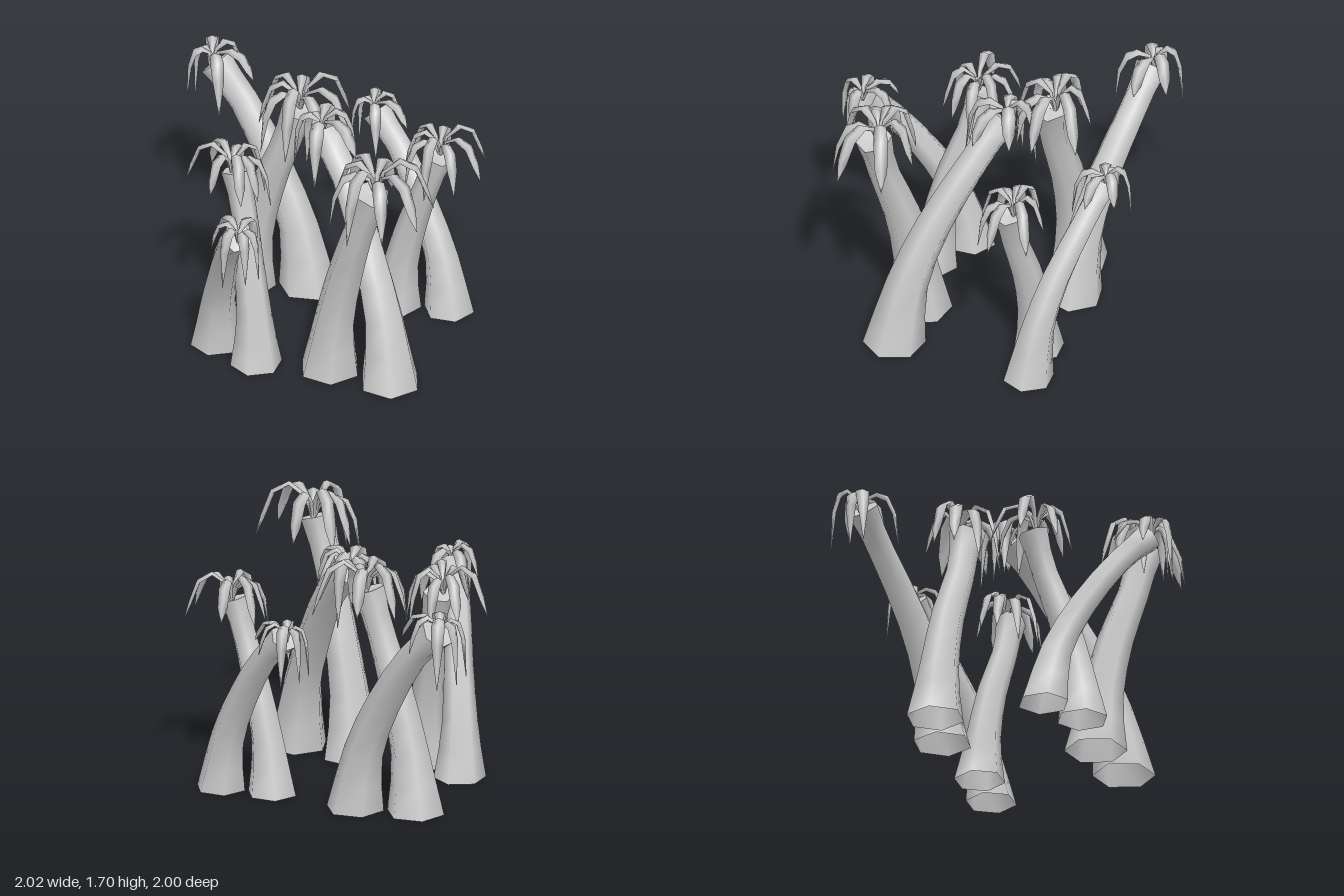
import * as THREE from 'three';

const V = (x, y, z) => new THREE.Vector3(x, y, z);
const material = new THREE.MeshStandardMaterial({ color: 0xcccccc, side: THREE.DoubleSide });

// One elliptical cross-section, square to the direction of growth
function ring(center, dir, sideRef, rSide, rUp, sides, phase = 0) {
  const t = dir.clone().normalize();
  const u = sideRef.clone().addScaledVector(t, -sideRef.dot(t)).normalize();
  const w = u.clone().cross(t);
  return Array.from({ length: sides }, (_, i) => {
    const a = phase + (i / sides) * Math.PI * 2;
    return center.clone().addScaledVector(u, Math.cos(a) * rSide).addScaledVector(w, Math.sin(a) * rUp);
  });
}

// Skin over a row of cross-sections
function loft(rings) {
  const n = rings[0].length, index = [];
  for (let i = 0; i < rings.length - 1; i++) {
    for (let j = 0; j < n; j++) {
      const a = i * n + j, b = i * n + (j + 1) % n;
      index.push(a, a + n, b, b, a + n, b + n);
    }
  }
  const geo = new THREE.BufferGeometry().setFromPoints(rings.flat());
  geo.setIndex(index);
  geo.computeVertexNormals();
  return geo;
}

function mesh(geo, name) {
  const m = new THREE.Mesh(geo, material);
  m.name = name;
  return m;
}

// Six-sided trunk: flared foot, slim neck, slightly flared rim
const trunkRadii = [0.195, 0.158, 0.132, 0.12, 0.112, 0.104, 0.097, 0.098, 0.116];
const trunkPhase = 0.22;
function trunk(points) {
  const curve = new THREE.CatmullRomCurve3(points.map(p => V(...p)));
  const last = trunkRadii.length - 1;
  const rings = trunkRadii.map((r, i) => {
    const dir = i ? curve.getTangent(i / last) : V(0, 1, 0);
    return ring(curve.getPoint(i / last), dir, V(1, 0, 0), r, r, 6, trunkPhase);
  });
  const group = new THREE.Group();
  group.name = 'trunk';
  group.add(mesh(loft(rings), 'trunkBark'));
  // Shallow top with its own normals, so the rim stays sharp
  const end = curve.getPoint(1), dir = curve.getTangent(1);
  const inner = ring(end.addScaledVector(dir, -0.015), dir, V(1, 0, 0), 0.002, 0.002, 6, trunkPhase);
  group.add(mesh(loft([rings[last], inner]), 'trunkTop'));
  return group;
}

// Drooping leaf: share of reach, height (share of lift or drop), half width, half thickness
const leafStations = [
  [0, 0, 0.012, 0.01], [0.14, 0.62, 0.018, 0.013], [0.42, 1, 0.037, 0.016],
  [0.7, 0.74, 0.046, 0.016], [0.88, -0.1, 0.038, 0.014], [1, -1, 0.002, 0.002],
];
function leaf(reach, lift, drop) {
  const pts = leafStations.map(([r, h]) => V(r * reach, h > 0 ? h * lift : h * drop, 0));
  pts[0].y = -0.03;
  const rings = pts.map((p, i) => {
    const dir = pts[Math.min(i + 1, 5)].clone().sub(pts[Math.max(i - 1, 0)]);
    return ring(p, dir, V(0, 0, 1), leafStations[i][2], leafStations[i][3], 4);
  });
  return loft(rings);
}

// Leaves: [compass angle in degrees, reach, lift, drop]
function crown(leaves) {
  const group = new THREE.Group();
  group.name = 'crown';
  for (const [angle, ...size] of leaves) {
    const m = mesh(leaf(...size), 'leaf');
    m.rotation.y = -THREE.MathUtils.degToRad(angle);
    group.add(m);
  }
  return group;
}

function palm(name, path, leaves, crownAt) {
  const group = new THREE.Group();
  group.name = name;
  const top = crown(leaves);
  top.position.set(...crownAt);
  group.add(trunk(path), top);
  return group;
}

// A pair: one upright palm and one strongly leaning palm crossing behind it
function palmPair() {
  const pair = new THREE.Group();
  pair.name = 'palmPair';
  pair.add(palm('uprightPalm',
    [[-0.34, 0, -0.165], [-0.3, 0.4, -0.135], [-0.21, 0.8, -0.08], [-0.11, 1.14, 0], [-0.01, 1.465, 0.04]],
    [[-80, 0.23, 0.17, 0.12], [-19, 0.36, 0.21, 0.14], [29, 0.36, 0.17, 0.14], [66, 0.29, 0.13, 0.22],
      [113, 0.28, 0.19, 0.27], [155, 0.29, 0.13, 0.27], [189, 0.27, 0.17, 0.15], [220, 0.27, 0.2, 0.15]],
    [0, 1.47, 0]));
  pair.add(palm('leaningPalm',
    [[0.06, 0, -0.115], [0, 0.42, -0.18], [-0.14, 0.8, -0.31], [-0.34, 1.19, -0.51], [-0.52, 1.415, -0.64]],
    [[272, 0.19, 0.12, 0.33], [172, 0.17, 0.09, 0.3], [210, 0.13, 0.08, 0.33],
      [83, 0.26, 0.1, 0.28], [29, 0.3, 0.1, 0.08], [-20, 0.21, 0.12, 0.12]],
    [-0.54, 1.42, -0.66]));
  return pair;
}

export function createModel() {
  const model = new THREE.Group();
  model.name = 'palmGrove';
  // x, z, turn in degrees, scale
  const places = [
    [0.56, 0.5, 0, 1], [-0.19, -0.41, 19, 0.945], [0.71, -0.415, 13, 0.82], [-0.455, 0.175, -200, 0.835],
  ];
  for (const [x, z, turn, scale] of places) {
    const pair = palmPair();
    pair.position.set(x, 0, z);
    pair.rotation.y = THREE.MathUtils.degToRad(turn);
    pair.scale.setScalar(scale);
    model.add(pair);
  }
  return model;
}
